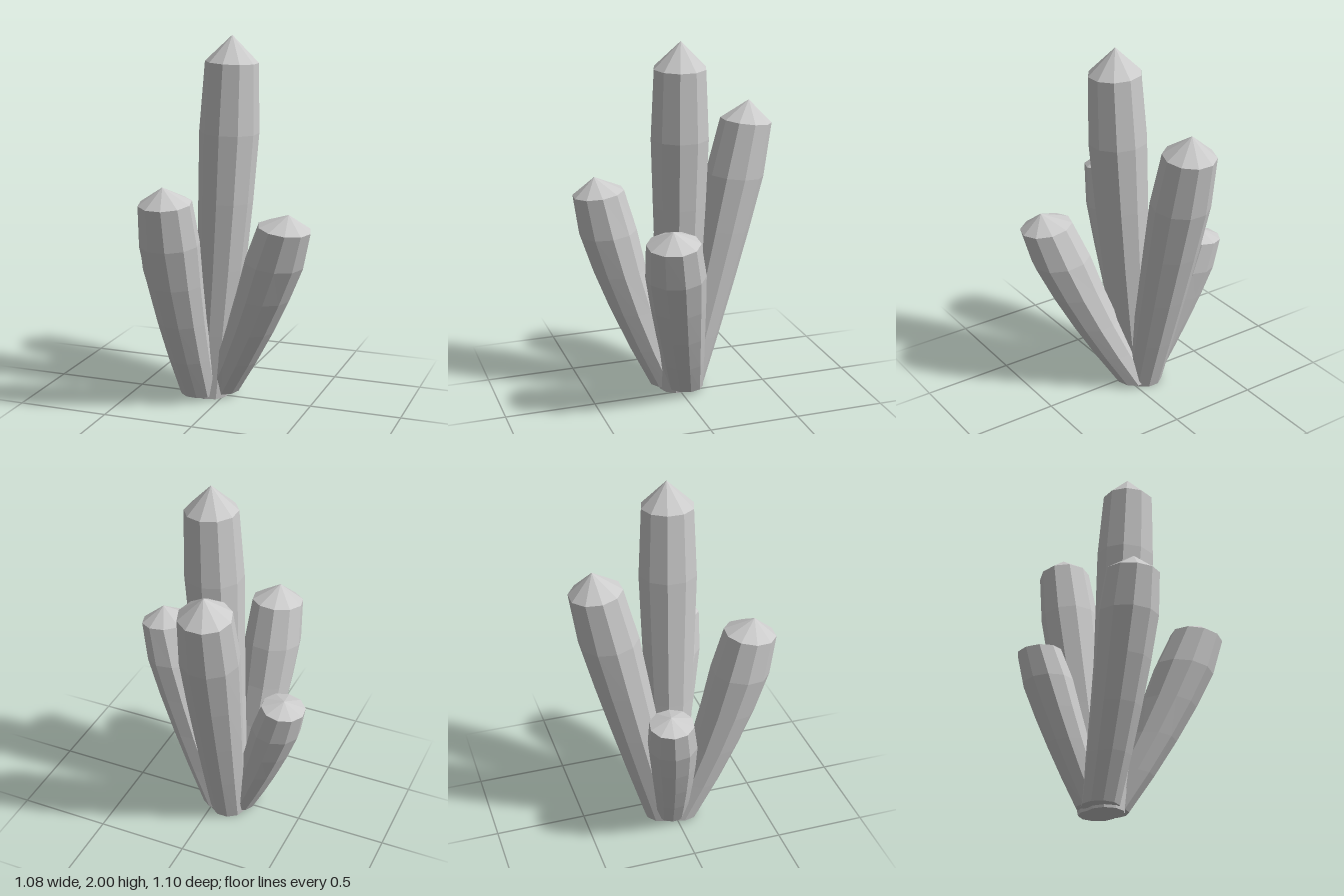
import * as THREE from 'three';

// Stalk silhouette: radius at each step from the base to the shoulder
const RADII = [0.1, 0.117, 0.133, 0.148, 0.16, 0.142];
const SIDES = 10;

// base, bend (curve control point), shoulder centre, pointed tip, radius scale, turn in degrees
const STALKS = [
  { name: 'tallStalk', base: [-0.08, 0, 0], bend: [0.015, 0.93, 0.01], shoulder: [0.05, 1.86, 0.02], tip: [0.05, 2, 0.015], scale: 1.0, turn: 0 },
  { name: 'backStalk', base: [-0.09, 0, -0.06], bend: [-0.1, 0.78, -0.26], shoulder: [-0.11, 1.517, -0.415], tip: [-0.11, 1.63, -0.43], scale: 1.0, turn: 18 },
  { name: 'frontStalk', base: [-0.135, 0.015, 0.04], bend: [-0.17, 0.6, 0.3], shoulder: [-0.175, 1.163, 0.41], tip: [-0.18, 1.25, 0.43], scale: 1.0, turn: 13 },
  { name: 'leftSideStalk', base: [-0.03, 0.02, -0.04], bend: [0.24, 0.52, 0.09], shoulder: [0.395, 1.025, 0.17], tip: [0.42, 1.1, 0.18], scale: 1.0, turn: 18 },
  { name: 'rightSideStalk', base: [-0.145, 0.02, -0.02], bend: [-0.315, 0.42, -0.06], shoulder: [-0.425, 0.845, -0.11], tip: [-0.43, 0.89, -0.115], scale: 0.84, turn: 7 },
];

function stalkGeometry({ base, bend, shoulder, tip, scale, turn }) {
  const [a, b, c, end] = [base, bend, shoulder, tip].map((p) => new THREE.Vector3(...p));
  const curve = new THREE.QuadraticBezierCurve3(a, b, c);

  // Straight lathe: closed bottom, rings at heights 0..1, tip at height 2
  const profile = RADII.map((r, i) => new THREE.Vector2(r * scale, i / (RADII.length - 1)));
  profile.unshift(new THREE.Vector2(0, 0));
  profile.push(new THREE.Vector2(0, 2));
  const geometry = new THREE.LatheGeometry(profile, SIDES);
  geometry.rotateY(THREE.MathUtils.degToRad(turn));

  // Bend it along the curve, tilting each ring a little more towards the top
  const lean = new THREE.Vector3(c.x - a.x, 0, c.z - a.z).multiplyScalar(0.33);
  const up = new THREE.Vector3(0, 1, 0);
  const position = geometry.attributes.position;
  const v = new THREE.Vector3();
  for (let i = 0; i < position.count; i++) {
    v.fromBufferAttribute(position, i);
    const t = v.y;
    if (t > 1.5) {
      v.copy(end);
    } else {
      const normal = up.clone().addScaledVector(lean, t).normalize();
      const tilt = new THREE.Quaternion().setFromUnitVectors(up, normal);
      v.setY(0).applyQuaternion(tilt).add(curve.getPoint(t));
    }
    position.setXYZ(i, v.x, v.y, v.z);
  }
  const flat = geometry.toNonIndexed();
  flat.computeVertexNormals();
  return flat;
}

export function createModel() {
  const group = new THREE.Group();
  group.name = 'stalkCluster';
  const material = new THREE.MeshStandardMaterial({ color: 0xcccccc, flatShading: true });
  for (const stalk of STALKS) {
    const mesh = new THREE.Mesh(stalkGeometry(stalk), material);
    mesh.name = stalk.name;
    group.add(mesh);
  }
  return group;
}
